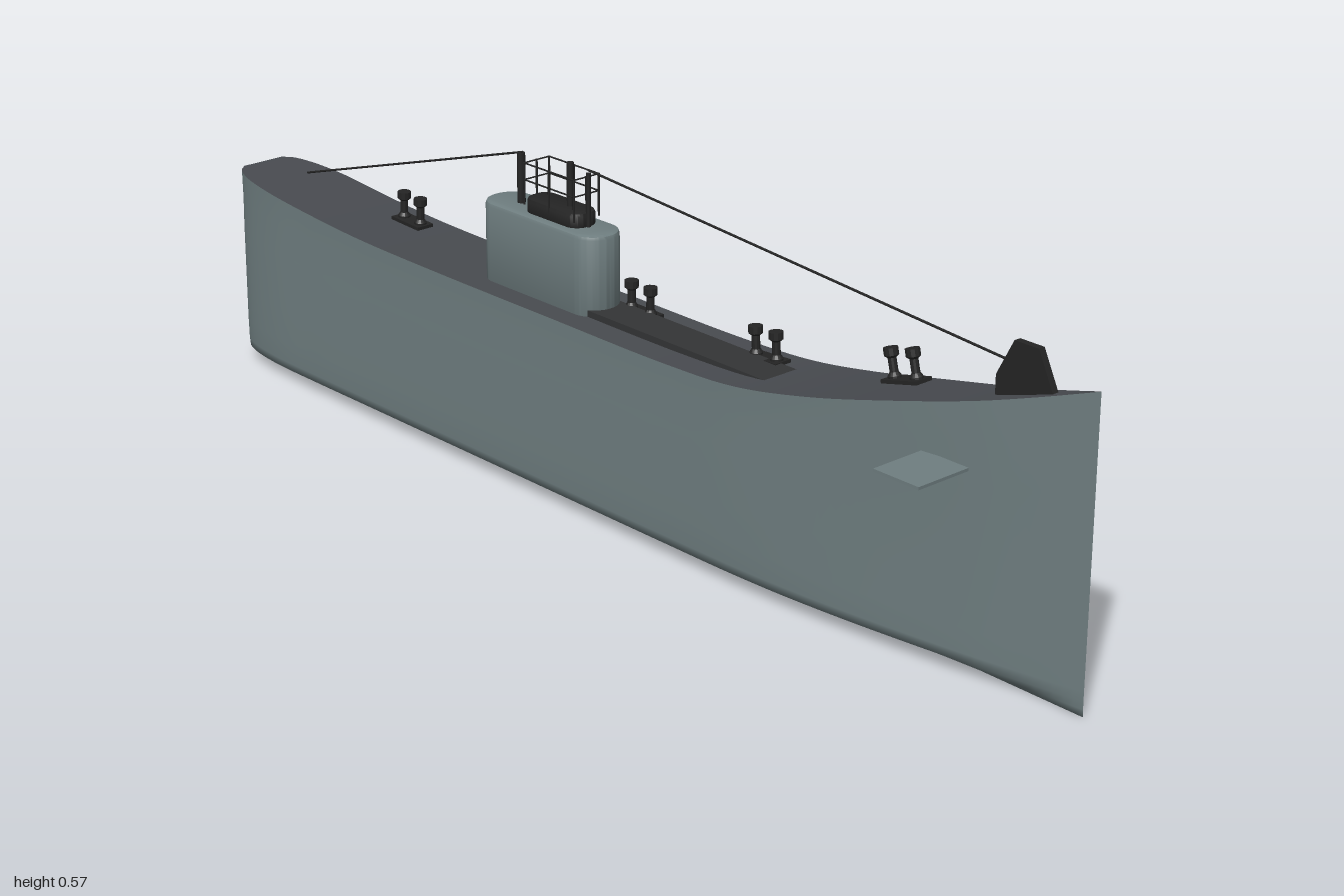
import * as THREE from 'three';
import { toCreasedNormals } from 'three/addons/utils/BufferGeometryUtils.js';

const mat = (name, color, side = THREE.FrontSide) => {
  const m = new THREE.MeshStandardMaterial({ color, side });
  m.name = name;
  return m;
};

// Skins a list of equal-length rows of points
function skin(rows) {
  const n = rows[0].length, index = [];
  for (let i = 0; i < rows.length - 1; i++) {
    for (let j = 0; j < n - 1; j++) {
      const a = i * n + j, c = a + n;
      index.push(a, a + 1, c, a + 1, c + 1, c);
    }
  }
  const g = new THREE.BufferGeometry();
  g.setAttribute('position', new THREE.Float32BufferAttribute(rows.flat(2), 3));
  g.setIndex(index);
  g.computeVertexNormals();
  return g;
}

// Upright capsule-plan block with a small bevel
function capsuleBlock(x0, x1, halfZ, y0, y1, radius, bevel) {
  const a = x0 + bevel, b = x1 - bevel, h = halfZ - bevel, r = Math.min(radius, h);
  const s = new THREE.Shape();
  s.moveTo(a + r, -h);
  s.lineTo(b - r, -h);
  s.absarc(b - r, -h + r, r, -Math.PI / 2, 0);
  s.lineTo(b, h - r);
  s.absarc(b - r, h - r, r, 0, Math.PI / 2);
  s.lineTo(a + r, h);
  s.absarc(a + r, h - r, r, Math.PI / 2, Math.PI);
  s.lineTo(a, -h + r);
  s.absarc(a + r, -h + r, r, Math.PI, Math.PI * 1.5);
  const g = new THREE.ExtrudeGeometry(s, {
    depth: y1 - y0 - 2 * bevel, bevelEnabled: true, bevelSize: bevel,
    bevelThickness: bevel, bevelSegments: 2, curveSegments: 10,
  });
  g.rotateX(-Math.PI / 2).translate(0, y0 + bevel, 0);
  return toCreasedNormals(g, 0.6);
}

export function createModel() {
  const model = new THREE.Group();
  const hullGrey = mat('hull grey', 0x6f7e80);
  const deckGrey = mat('deck grey', 0x484b50);
  const walkGrey = mat('walkway dark grey', 0x343536);
  const black = mat('fittings black', 0x242424);

  const add = (name, geometry, material, parent = model) => {
    const m = new THREE.Mesh(geometry, material);
    m.name = name;
    parent.add(m);
    return m;
  };
  const rod = (name, p, q, r, parent = model, sides = 6) => {
    const a = new THREE.Vector3(...p), b = new THREE.Vector3(...q);
    const m = add(name, new THREE.CylinderGeometry(r, r, a.distanceTo(b), sides), black, parent);
    m.position.copy(a).add(b).multiplyScalar(0.5);
    m.quaternion.setFromUnitVectors(new THREE.Vector3(0, 1, 0), b.sub(a).normalize());
    return m;
  };

  // Hull stations: x, deck height, half beam
  const stations = [
    [-1, 0.367, 0.042], [-0.985, 0.366, 0.058], [-0.95, 0.363, 0.072], [-0.87, 0.357, 0.083],
    [-0.75, 0.347, 0.085], [-0.6, 0.338, 0.085], [-0.4, 0.335, 0.085], [-0.1, 0.335, 0.085],
    [0.2, 0.336, 0.085], [0.35, 0.344, 0.084], [0.5, 0.37, 0.077], [0.65, 0.406, 0.064],
    [0.8, 0.445, 0.043], [0.9, 0.475, 0.022], [1, 0.508, 0.0005],
  ];
  const curve = new THREE.CatmullRomCurve3(stations.map((s) => new THREE.Vector3(...s)));
  const sheer = curve.getPoints(84);
  const deckY = (x) => {
    const i = Math.max(1, sheer.findIndex((p) => p.x >= x));
    const a = sheer[i - 1], b = sheer[i];
    return a.y + (b.y - a.y) * (x - a.x) / (b.x - a.x);
  };

  // Half section from deck edge to keel: beam factor, height
  const halfSection = ({ x, y, z }) => {
    const fine = 1 - 0.12 * THREE.MathUtils.smoothstep(x, 0.4, 0.85);
    return [
      [x, y, z], [x, y * 0.86, z * 0.985], [x, y * 0.7, z * (fine + 1) / 2],
      [x, y * 0.4, z * fine], [x, 0.08, z * fine], [x, 0.04, z * fine * 0.985],
      [x, 0.025, z * fine * 0.96], [x, 0.012, z * fine * 0.5], [x, 0, 0],
    ];
  };
  const flip = ([x, y, z]) => [x, y, -z];
  const rows = sheer.map((p) => {
    const half = halfSection(p);
    return [...half, ...half.slice(0, -1).reverse().map(flip)];
  });
  add('hull', skin(rows), hullGrey);
  const stern = halfSection(sheer[0]);
  add('transom', skin([stern.map(flip), stern]), hullGrey);
  add('deck', skin(sheer.map((p) => [[p.x, p.y, -p.z], [p.x, p.y, p.z]])), deckGrey);

  // Raised walkway ahead of the tower
  const walk = add('walkway', new THREE.BoxGeometry(0.42, 0.02, 0.07), walkGrey);
  walk.position.set(0.16, 0.336, 0);

  // Conning tower and bridge
  add('conningTower', capsuleBlock(-0.325, -0.03, 0.043, 0.32, 0.473, 0.036, 0.007), hullGrey);
  add('bridge', capsuleBlock(-0.222, -0.085, 0.028, 0.468, 0.498, 0.018, 0.006), black);

  // Bridge railing
  const railing = new THREE.Group();
  railing.name = 'railing';
  model.add(railing);
  const xs = [-0.215, -0.09], rz = 0.027;
  const corners = [[xs[0], -rz], [xs[1], -rz], [xs[1], rz], [xs[0], rz]];
  corners.forEach(([x, z], i) => {
    const [nx, nz] = corners[(i + 1) % 4];
    rod('railPost', [x, 0.485, z], [x, 0.558, z], 0.002, railing);
    rod('railPost', [(x + nx) / 2, 0.485, (z + nz) / 2], [(x + nx) / 2, 0.558, (z + nz) / 2], 0.002, railing);
    for (const y of [0.528, 0.557]) rod('rail', [x, y, z], [nx, y, nz], 0.0014, railing);
  });

  // Periscopes and masts
  rod('aftMast', [-0.255, 0.46, 0], [-0.255, 0.56, 0], 0.007, model, 10);
  rod('periscope', [-0.13, 0.48, 0], [-0.13, 0.573, 0], 0.006, model, 10);
  rod('foreMast', [-0.085, 0.465, 0], [-0.085, 0.565, 0], 0.004, model, 8);

  // Aerial wires
  rod('aftWire', [-0.86, 0.379, 0], [-0.25, 0.562, 0], 0.002);
  rod('foreWire', [-0.085, 0.57, 0], [0.86, 0.503, 0], 0.002);

  // Bow fin
  const fin = new THREE.Shape();
  fin.moveTo(0.81, 0.445);
  fin.lineTo(0.92, 0.475);
  fin.lineTo(0.888, 0.541);
  fin.lineTo(0.842, 0.541);
  fin.lineTo(0.81, 0.48);
  const finGeometry = new THREE.ExtrudeGeometry(fin, { depth: 0.012, bevelEnabled: false });
  add('bowFin', finGeometry.translate(0, 0, -0.006), black);

  // Bow diving planes
  for (const side of [-1, 1]) {
    const plane = add('bowPlane', new THREE.BoxGeometry(0.09, 0.005, 0.105), hullGrey);
    plane.position.set(0.76, 0.342, side * 0.1025);
  }

  // Bollard pairs along one deck edge
  const profile = [[0, 0], [0.011, 0], [0.011, 0.006], [0.007, 0.012], [0.007, 0.034],
    [0.012, 0.038], [0.012, 0.05], [0, 0.051]].map(([r, y]) => new THREE.Vector2(r, y));
  const bollardGeometry = toCreasedNormals(new THREE.LatheGeometry(profile, 12), 0.5);
  for (const x of [-0.605, -0.305, 0, 0.295, 0.595]) {
    const pair = new THREE.Group();
    pair.name = 'bollardPair';
    pair.position.set(x, deckY(x), -0.039);
    pair.rotation.z = Math.atan((deckY(x + 0.03) - deckY(x - 0.03)) / 0.06);
    add('bollardBase', new THREE.BoxGeometry(0.075, 0.012, 0.034), black, pair);
    for (const dx of [-0.023, 0.023]) add('bollard', bollardGeometry, black, pair).position.set(dx, 0.003, 0);
    model.add(pair);
  }

  return model;
}
